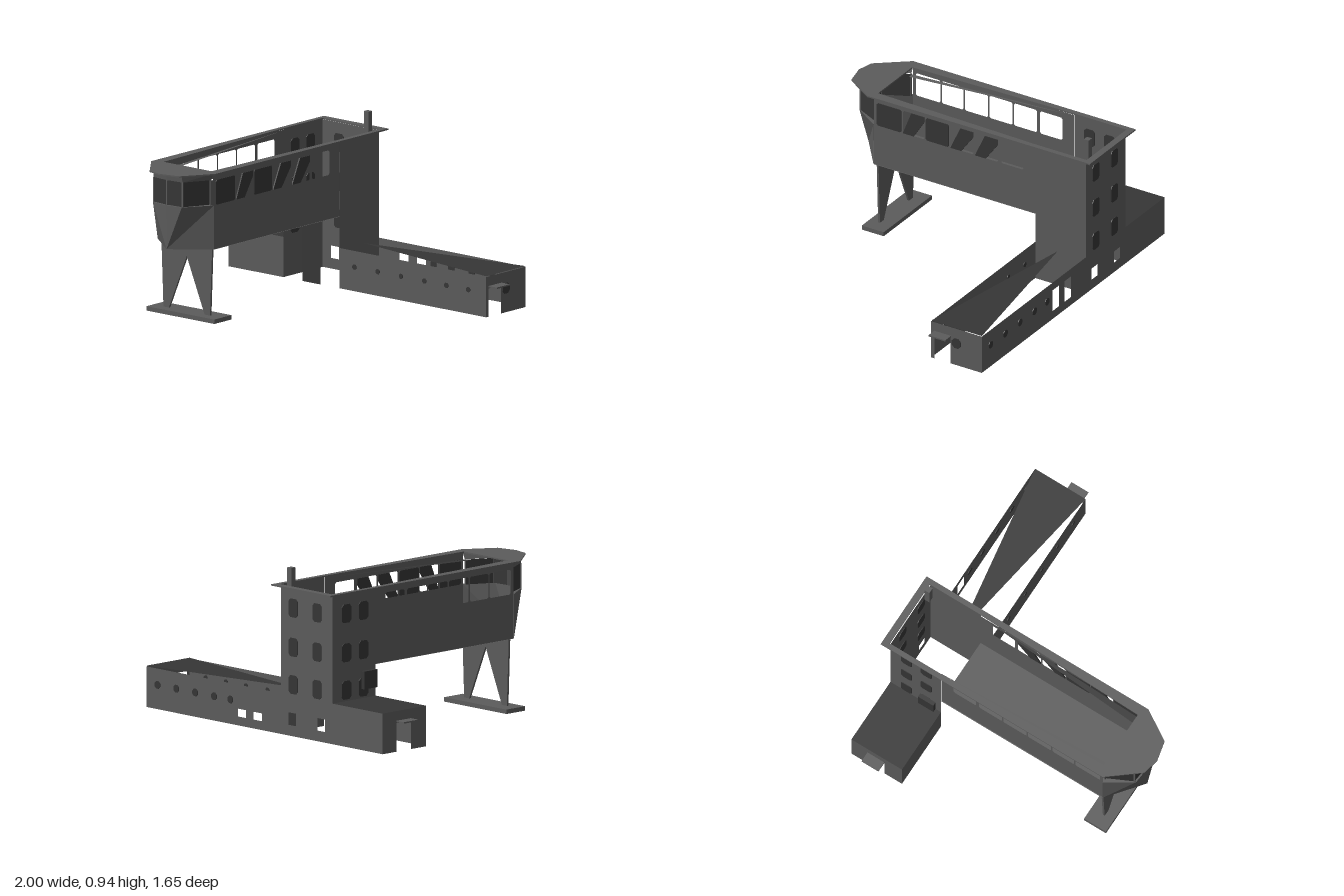
import * as THREE from 'three';

const grey = new THREE.MeshStandardMaterial({ name: 'concreteGrey', color: 0x5c5c5c, side: THREE.DoubleSide });
const dark = new THREE.MeshStandardMaterial({ name: 'darkGrey', color: 0x363636, side: THREE.DoubleSide });

const rect = (a, b, y0, y1) => [[a, y0], [b, y0], [b, y1], [a, y1]];
// Rectangle with cut corners, centred on (u, v)
const chamfered = (u, v, w, h, c) => [
  [-w + c, -h], [w - c, -h], [w, -h + c], [w, h - c],
  [w - c, h], [-w + c, h], [-w, h - c], [-w, -h + c],
].map(([x, y]) => [u + x, v + y]);
const octagon = (u, v, r) => chamfered(u, v, r, r, r * 0.59);
const vec = (pts) => pts.map(([x, y]) => new THREE.Vector2(x, y));

function makeShape(points, holes = []) {
  const s = new THREE.Shape(vec(points));
  for (const h of holes) s.holes.push(new THREE.Path(vec(h)));
  return s;
}

export function createModel() {
  const model = new THREE.Group();

  const add = (name, geometry, material) => {
    const m = new THREE.Mesh(geometry, material);
    m.name = name;
    model.add(m);
    return m;
  };
  // Sheet in the x-y plane at a given z
  const wallZ = (name, z, outline, holes, mat = grey) => {
    add(name, new THREE.ShapeGeometry(makeShape(outline, holes)), mat).position.z = z;
  };
  // Sheet in the z-y plane at a given x
  const wallX = (name, x, outline, holes, mat = grey) => {
    const m = add(name, new THREE.ShapeGeometry(makeShape(outline, holes)), mat);
    m.rotation.y = -Math.PI / 2;
    m.position.x = x;
  };
  // Horizontal sheet, points given as x, z
  const slab = (name, y, outline, holes, mat = grey, depth = 0) => {
    const s = makeShape(outline, holes);
    const g = depth ? new THREE.ExtrudeGeometry(s, { depth, bevelEnabled: false }) : new THREE.ShapeGeometry(s);
    const m = add(name, g, mat);
    m.rotation.x = Math.PI / 2;
    m.position.y = y;
  };
  const box = (name, x0, x1, y0, y1, z0, z1, mat = grey) => {
    add(name, new THREE.BoxGeometry(x1 - x0, y1 - y0, z1 - z0), mat)
      .position.set((x0 + x1) / 2, (y0 + y1) / 2, (z0 + z1) / 2);
  };
  // Thin pane showing on both sides of a wall
  const pane = (name, axis, at, outline) => {
    const g = new THREE.ExtrudeGeometry(makeShape(outline), { depth: 0.008, bevelEnabled: false });
    g.translate(0, 0, -0.004);
    const m = add(name, g, dark);
    if (axis === 'x') m.rotation.y = -Math.PI / 2;
    m.position[axis] = at;
  };
  // Faceted band between two rows of 3D points
  const band = (name, lower, upper, mat) => {
    const v = [];
    for (let i = 0; i < lower.length - 1; i++) {
      v.push(...lower[i], ...lower[i + 1], ...upper[i + 1], ...lower[i], ...upper[i + 1], ...upper[i]);
    }
    const g = new THREE.BufferGeometry();
    g.setAttribute('position', new THREE.Float32BufferAttribute(v, 3));
    g.computeVertexNormals();
    add(name, g, mat);
  };

  const L = -0.54, R = -0.13, MID = -0.335, BACK = -0.785, FRONT = -0.455;
  const FLOOR = 0.405, SILL = 0.655, HEAD = 0.795, TOP = 0.835;

  // Tower: three walls, open inside, with a central panel below the gallery
  const gates = [-0.22, -0.45].map((x) => rect(x - 0.03, x + 0.03, 0.06, 0.13));
  wallZ('towerBackWall', BACK, rect(L, R, 0, TOP), gates);
  wallX('towerLeftWall', R, rect(BACK, FRONT, 0, TOP));
  wallX('towerRightWall', L, rect(BACK, FRONT, 0, TOP));
  wallZ('towerFrontPanel', FRONT, rect(-0.4, -0.27, 0, FLOOR), [], dark);
  for (const y of [0.29, 0.5, 0.72]) {
    for (const x of [-0.23, -0.42]) pane('towerBackWindow', 'z', BACK, chamfered(x, y, 0.035, 0.052, 0.014));
    for (const z of [-0.55, -0.68]) pane('towerSideWindow', 'x', L, chamfered(z, y, 0.035, 0.052, 0.014));
  }
  box('wallBox', -0.58, -0.556, 0.285, 0.385, -0.58, -0.48, dark);
  box('chimney', -0.205, -0.172, 0.79, 0.94, -0.777, -0.745);

  // Gallery floor and side walls with window openings
  slab('galleryFloor', FLOOR, [[L, FRONT], [R, FRONT], [R, 0.6], [MID, 0.762], [L, 0.6]]);
  const bays = [[0.42, 0.58], [0.27, 0.41], [0.11, 0.26], [-0.05, 0.1], [-0.21, -0.06], [-0.375, -0.23]];
  const openings = bays.map(([a, b]) =>
    chamfered((a + b) / 2, (SILL + HEAD) / 2, (b - a) / 2, (HEAD - SILL) / 2, 0.008));
  wallX('galleryRightWall', L + 0.005, rect(FRONT, 0.6, FLOOR, TOP), openings);
  wallX('galleryLeftWall', R - 0.005, rect(FRONT, 0.6, FLOOR, TOP), openings);
  bays.slice(0, 5).forEach(([a, b], i) => {
    const slanted = [[b - 0.07, SILL], [b, SILL], [a + 0.085, HEAD], [a, HEAD], [a, HEAD - 0.03]];
    pane('galleryWindow', 'x', R - 0.005, i === 0 || i === 2 ? openings[i] : slanted);
  });

  // Pointed nose: keel, glazing and band under the roof
  const nose = (y, inset = 0) => [
    [L + inset, y, 0.6], [-0.44, y, 0.755 - inset / 3], [MID, y, 0.765 - inset / 3],
    [-0.23, y, 0.755 - inset / 3], [R - inset, y, 0.6],
  ];
  const tip = [MID, FLOOR, 0.762];
  band('noseKeel', [[L, FLOOR, 0.6], tip, tip, tip, [R, FLOOR, 0.6]], nose(SILL), grey);
  band('noseWindow', nose(SILL, 0.03), nose(HEAD, 0.03), dark);
  band('noseSill', nose(SILL, 0.03), nose(SILL), grey);
  band('noseHeader', nose(HEAD, 0.02), nose(TOP), grey);
  for (const [x, y, z] of nose(SILL, 0.025)) {
    box('noseMullion', x - 0.004, x + 0.004, y, HEAD, z - 0.004, z + 0.004);
  }

  // Roof rim with a long opening
  slab('roofRim', 0.842,
    [[-0.57, -0.83], [-0.1, -0.83], [-0.1, 0.62], [-0.21, 0.795], [-0.33, 0.822], [-0.425, 0.8], [-0.57, 0.62]],
    [[[L, -0.79], [R, -0.79], [R, FRONT], [-0.158, 0.587], [-0.507, 0.587], [L, FRONT]]], grey, 0.008);
  // Narrow sloping ceiling strips
  band('ceilingStripLeft', [[-0.135, 0.832, FRONT], [-0.2, 0.797, 0.587]],
    [[-0.135, 0.832, FRONT], [-0.158, 0.797, 0.587]], dark);
  band('ceilingStripRight', [[-0.535, 0.832, FRONT], [-0.475, 0.797, 0.587]],
    [[-0.535, 0.832, FRONT], [-0.507, 0.797, 0.587]], grey);

  // Front support: splayed legs on a foot plate
  const legs = makeShape(
    [[-0.505, 0.025], [-0.465, 0.025], [MID, 0.335], [-0.205, 0.025], [-0.165, 0.025], [-0.15, FLOOR], [-0.52, FLOOR]]);
  add('frontLegs', new THREE.ExtrudeGeometry(legs, { depth: 0.012, bevelEnabled: false }), grey).position.z = 0.58;
  box('footPlate', -0.58, -0.085, 0, 0.025, 0.505, 0.648);

  // Long low wing
  const H = 0.228;
  const doorways = [0.055, 0.18].map((x) => rect(x - 0.033, x + 0.033, 0.05, 0.18));
  wallZ('longWingBackWall', BACK, rect(R, 0.94, 0, H), doorways);
  wallZ('longWingFrontWall', FRONT, rect(R, 0.94, 0, H));
  for (const x of [0.27, 0.4, 0.55, 0.7, 0.85]) pane('backPorthole', 'z', BACK, octagon(x, 0.137, 0.021));
  for (const x of [-0.02, 0.15, 0.32, 0.49, 0.65, 0.81]) pane('frontPorthole', 'z', FRONT, octagon(x, 0.137, 0.014));
  slab('longWingRoof', H + 0.004, [[-0.1, -0.62], [0.94, BACK], [0.94, FRONT]], [], dark);

  // Short low wing
  wallZ('shortWingBackWall', BACK, rect(-0.94, L, 0, H));
  wallZ('shortWingFrontWall', FRONT, rect(-0.94, L, 0, H));
  slab('shortWingRoof', H, [[-0.94, BACK], [L, BACK], [L, FRONT], [-0.94, FRONT]], [], dark);

  // End walls with a doorway under a small canopy
  const endWall = (a, b) => [
    [BACK, 0], [a, 0], [a, 0.16], [b, 0.16], [b, 0], [FRONT, 0], [FRONT, H], [BACK, H]];
  wallX('longWingEnd', 0.94, endWall(-0.58, -0.475));
  wallX('shortWingEnd', -0.94, endWall(-0.68, -0.57));
  pane('endPorthole', 'x', 0.94, octagon(-0.62, 0.137, 0.03));
  box('longWingCanopy', 0.94, 1, 0.166, 0.174, -0.585, -0.475);
  box('shortWingCanopy', -1, -0.94, 0.166, 0.174, -0.68, -0.57);

  return model;
}
